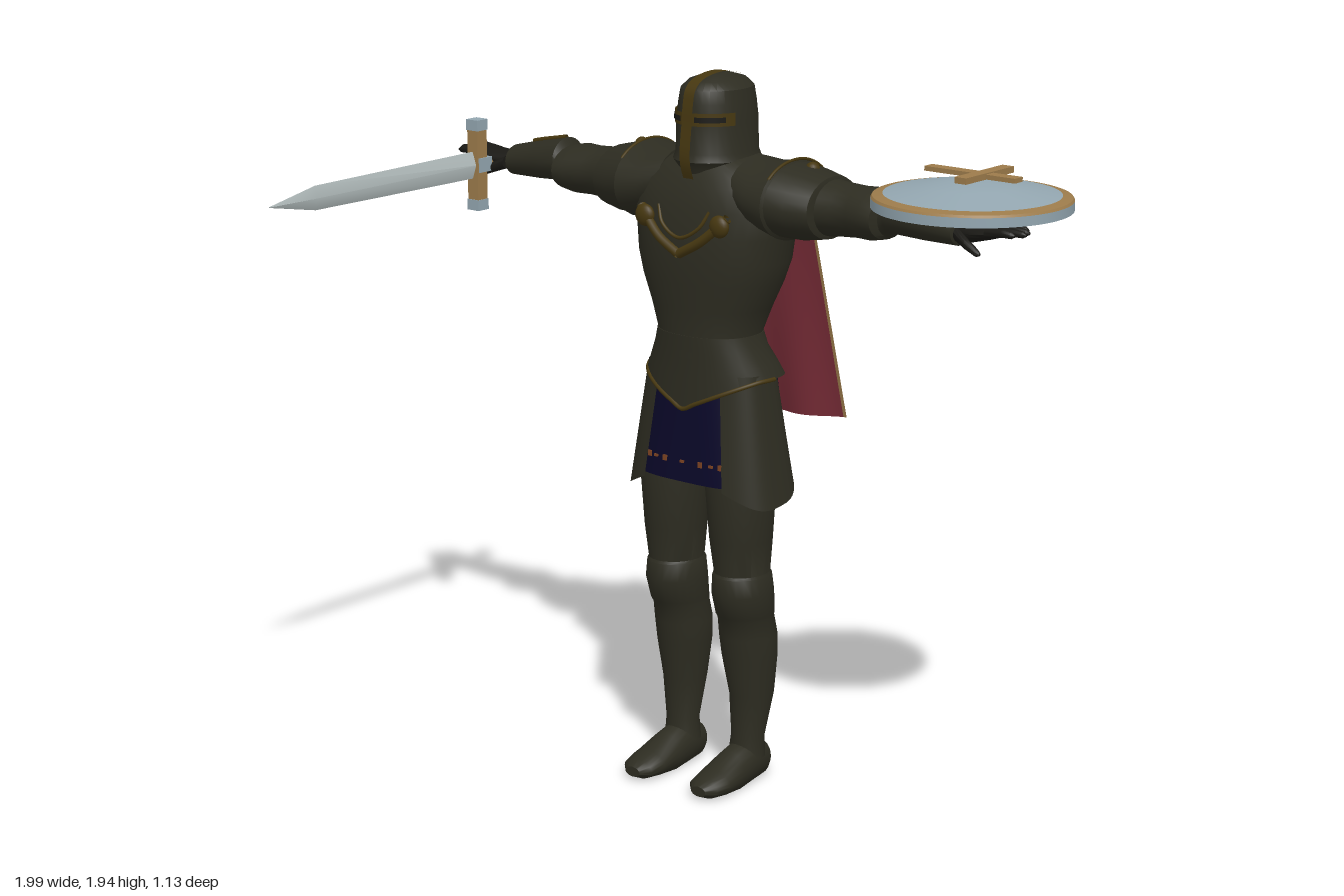
import * as THREE from 'three';
import { toCreasedNormals } from 'three/addons/utils/BufferGeometryUtils.js';

const mat = (name, color) => {
  const m = new THREE.MeshStandardMaterial({ color, side: THREE.DoubleSide });
  m.name = name;
  return m;
};

const pw = (v, p) => Math.sign(v) * Math.abs(v) ** p;

// Closed skin through elliptical sections [t, a, b, ra, rb] along an axis; s = -1 mirrors x.
function loft(rows, axis, { s = 1, n = 24, p = 1, warp } = {}) {
  const pos = [], idx = [];
  const put = (t, a, b) => {
    const v = axis === 'x' ? [t, a, b] : axis === 'y' ? [a, t, b] : [a, b, t];
    if (warp) warp(v);
    pos.push(v[0] * s, v[1], v[2]);
  };
  for (const [t, a, b, ra, rb] of rows)
    for (let j = 0; j < n; j++) {
      const q = (j / n) * Math.PI * 2;
      put(t, a + ra * pw(Math.cos(q), p), b + rb * pw(Math.sin(q), p));
    }
  const last = rows.length - 1, flip = (axis === 'y') !== (s < 0);
  const tri = (a, b, c) => (flip ? idx.push(a, c, b) : idx.push(a, b, c));
  put(...rows[0].slice(0, 3));
  put(...rows[last].slice(0, 3));
  const c0 = rows.length * n, c1 = c0 + 1;
  for (let j = 0; j < n; j++) {
    const k = (j + 1) % n;
    for (let i = 0; i < last; i++) {
      const a = i * n + j, b = i * n + k;
      tri(a, b, b + n);
      tri(a, b + n, a + n);
    }
    tri(c0, k, j);
    tri(c1, last * n + j, last * n + k);
  }
  const g = new THREE.BufferGeometry();
  g.setAttribute('position', new THREE.Float32BufferAttribute(pos, 3));
  g.setIndex(idx);
  return toCreasedNormals(g, 0.65);
}

// Open sheet from a function of (u, v) in 0..1.
function sheet(fn, nu, nv) {
  const g = new THREE.PlaneGeometry(1, 1, nu, nv), P = g.attributes.position;
  for (let i = 0; i < P.count; i++) P.setXYZ(i, ...fn(P.getX(i) + 0.5, 0.5 - P.getY(i)));
  g.computeVertexNormals();
  return g;
}

const tube = (pts, r, n = 32) =>
  new THREE.TubeGeometry(new THREE.CatmullRomCurve3(pts.map(q => new THREE.Vector3(...q))), n, r, 8);

export function createModel() {
  const armour = mat('dark olive armour', 0x2d2c21), bronze = mat('dark gold trim', 0x463710);
  const gold = mat('pale gold', 0x9c7b4b), steel = mat('blue steel', 0x93a6b0);
  const bladeSteel = mat('blade steel', 0xb2bcbc), red = mat('red cloth', 0x7a2d38);
  const blue = mat('navy cloth', 0x0a0829), orange = mat('orange embroidery', 0x7e4422);
  const leather = mat('dark leather', 0x1a1915);

  const model = new THREE.Group(), body = new THREE.Group();
  model.name = 'knight';
  body.name = 'body';
  body.position.x = -0.042;
  model.add(body);
  const add = (name, geo, m, at = [0, 0, 0], parent = body) => {
    const mesh = new THREE.Mesh(geo, m);
    mesh.name = name;
    mesh.position.set(...at);
    parent.add(mesh);
    return mesh;
  };

  // Breastplate and pointed waist plate
  add('breastplate', loft([
    [1.2, 0, -0.25, 0.15, 0.118], [1.26, 0, -0.25, 0.145, 0.118], [1.33, 0, -0.256, 0.172, 0.128],
    [1.4, 0, -0.262, 0.203, 0.143], [1.46, 0, -0.268, 0.222, 0.152],
    [1.53, 0, -0.272, 0.23, 0.156], [1.6, 0, -0.28, 0.25, 0.152], [1.66, 0, -0.285, 0.235, 0.14],
    [1.7, 0, -0.285, 0.17, 0.115], [1.73, 0, -0.285, 0.1, 0.09]], 'y', { n: 36, p: 0.9 }), armour);
  const drop = (x, z) => (z > -0.27 ? 0.085 : 0.02) * Math.max(0, 1 - Math.abs(x) / 0.19);
  add('waistPlate', loft([
    [1.145, 0, -0.275, 0.197, 0.144], [1.18, 0, -0.266, 0.183, 0.133],
    [1.22, 0, -0.255, 0.16, 0.123], [1.26, 0, -0.25, 0.147, 0.12]], 'y',
  { n: 36, p: 0.9, warp: v => { if (v[1] < 1.2) v[1] -= drop(v[0], v[2]) * (v[1] < 1.16 ? 1 : 0.5); } }), armour);
  const hem = [];
  for (let i = 0; i <= 20; i++) {
    const q = (i / 20) * Math.PI, x = 0.197 * pw(Math.cos(q), 0.9), z = -0.275 + 0.144 * pw(Math.sin(q), 0.9);
    hem.push([x, 1.145 - drop(x, z), z]);
  }
  add('waistTrim', tube(hem, 0.006, 48), bronze);

  // Neck guard with a thin gold neckline
  add('neckGuard', loft([[1.6, 0, -0.28, 0.16, 0.15], [1.66, 0, -0.28, 0.14, 0.13],
    [1.7, 0, -0.28, 0.095, 0.1], [1.75, 0, -0.28, 0.08, 0.09]], 'y'), armour);
  add('neckline', tube([[-0.085, 1.6, -0.138], [-0.06, 1.555, -0.122], [0, 1.525, -0.116],
    [0.06, 1.555, -0.122], [0.085, 1.6, -0.138]], 0.005), bronze);

  // Helmet with a cross-shaped face band running over the crown
  add('helmet', loft([
    [1.65, 0, -0.265, 0.065, 0.095], [1.7, 0, -0.27, 0.09, 0.112], [1.72, 0, -0.275, 0.106, 0.131],
    [1.74, 0, -0.275, 0.1, 0.122], [1.82, 0, -0.275, 0.098, 0.122], [1.87, 0, -0.275, 0.092, 0.117],
    [1.905, 0, -0.275, 0.087, 0.11], [1.925, 0, -0.275, 0.066, 0.088], [1.94, 0, -0.275, 0.025, 0.035]],
  'y', { n: 32 }), armour);
  const crest = new THREE.CatmullRomCurve3([[1.655, -0.163], [1.722, -0.14], [1.82, -0.147], [1.87, -0.152],
    [1.907, -0.162], [1.93, -0.19], [1.944, -0.275], [1.93, -0.36]]
    .map(([y, z]) => new THREE.Vector3(0, y, z)));
  add('helmetCrest', sheet((u, v) => {
    const q = crest.getPoint(v);
    return [(u - 0.5) * 0.034, q.y, q.z];
  }, 1, 40), bronze);
  const browBand = (y, h, r, from, to) => sheet((u, v) => {
    const q = from + (to - from) * u;
    return [(0.097 + r) * Math.cos(q), y + h * (0.5 - v), -0.275 + (0.121 + r) * Math.sin(q)];
  }, 24, 1);
  add('browBand', browBand(1.832, 0.034, 0.004, 0.35, Math.PI - 0.35), bronze);
  for (const [a, b] of [[0.6, 1.35], [Math.PI - 1.35, Math.PI - 0.6]])
    add('eyeSlit', browBand(1.832, 0.014, 0.007, a, b), leather);

  // Hip cloth, tucked under the waist plate, with embroidery
  const ring = (q, rx, rz, cz, p) => [rx * pw(Math.cos(q), p), cz + rz * pw(Math.sin(q), p)];
  const cloth = (q, v) => {
    const k = 0.88 + 0.12 * v;
    const [x, z] = ring(q, 0.2 * k, 0.143 * k, -0.272, 0.9 - 0.3 * v);
    return [x, 1.15 - 0.29 * v, z];
  };
  add('hipCloth', sheet((u, v) => cloth(u * Math.PI * 2, v), 64, 8), blue);
  for (const side of [1, -1])
    for (let i = 0; i < 13; i++) {
      const q = side * (Math.PI / 2 + (i - 6) * 0.165), [x, y, z] = cloth(q, 0.81);
      if (Math.abs(x) < 0.135)
        add('embroidery', new THREE.BoxGeometry(0.013, i % 2 ? 0.015 : 0.007, 0.005), orange, [x, y, z + side * 0.001]);
    }

  // Cape with gold side edges
  const cape = (a, b, n) => sheet((u, v) => {
    const w = a + (b - a) * u;
    return [w * (0.222 + 0.034 * v), 1.54 - 0.555 * v + 0.015 * v * Math.abs(w),
      -0.408 - 0.095 * v - 0.015 * v * Math.cos(w * Math.PI * 2)];
  }, n, 16);
  add('cape', cape(-0.96, 0.96, 40), red);
  add('capeEdge', cape(-1, -0.96, 1), gold);
  add('capeEdge', cape(0.96, 1, 1), gold);

  for (const s of [1, -1]) {
    const side = s > 0 ? 'left' : 'right';

    // Hip plate hanging over the thigh
    add(side + 'HipPlate', sheet((u, v) => {
      const back = -0.75 + 0.15 * v;
      const [x, z] = ring(back + (1.13 - back) * u, 0.185 + 0.056 * v, 0.102 + 0.03 * v, -0.257, 0.7);
      return [s * x, 1.16 - (0.31 + 0.045 * Math.sin(Math.PI * u)) * v, z];
    }, 20, 8), armour);

    // Leg with knee plate, and foot
    add(side + 'Leg', loft([
      [0.07, 0.113, -0.275, 0.052, 0.05], [0.13, 0.115, -0.277, 0.047, 0.044], [0.25, 0.117, -0.29, 0.059, 0.065],
      [0.36, 0.114, -0.284, 0.074, 0.08], [0.42, 0.113, -0.278, 0.077, 0.083], [0.475, 0.113, -0.267, 0.073, 0.082],
      [0.485, 0.114, -0.263, 0.076, 0.086], [0.55, 0.115, -0.25, 0.08, 0.092], [0.6, 0.114, -0.248, 0.076, 0.087],
      [0.607, 0.114, -0.248, 0.072, 0.082], [0.7, 0.113, -0.244, 0.083, 0.09], [0.85, 0.112, -0.242, 0.094, 0.1],
      [1, 0.105, -0.25, 0.094, 0.092], [1.16, 0.085, -0.26, 0.075, 0.07]], 'y', { s }), armour);
    add(side + 'Foot', loft([
      [-0.345, 0.113, 0.05, 0.03, 0.04], [-0.32, 0.113, 0.055, 0.046, 0.055], [-0.26, 0.113, 0.055, 0.051, 0.065],
      [-0.2, 0.114, 0.042, 0.054, 0.058], [-0.13, 0.116, 0.031, 0.058, 0.036], [-0.085, 0.116, 0.027, 0.049, 0.027],
      [-0.06, 0.116, 0.025, 0.025, 0.014]], 'z', { s, warp: v => { v[1] = Math.max(v[1], 0); } }), armour);

    // Layered shoulder with a gold edge and stud
    add(side + 'Shoulder', loft([
      [0.12, 1.65, -0.29, 0.082, 0.12], [0.18, 1.635, -0.29, 0.09, 0.14], [0.245, 1.63, -0.292, 0.106, 0.15],
      [0.25, 1.63, -0.292, 0.098, 0.142], [0.3, 1.625, -0.297, 0.094, 0.133],
      [0.36, 1.622, -0.302, 0.082, 0.112], [0.363, 1.622, -0.302, 0.073, 0.098]], 'x', { s }), armour);
    const edge = [];
    for (let q = 0.7; q < 3.6; q += 0.2)
      edge.push([s * 0.246, 1.63 + 0.106 * Math.sin(q), -0.292 + 0.15 * Math.cos(q)]);
    add(side + 'ShoulderTrim', tube(edge, 0.004), bronze);
    add(side + 'ShoulderStud', new THREE.SphereGeometry(0.02, 16, 10), bronze, [s * 0.288, 1.712, -0.31]);

    // Half of the pointed collar, ending in a boss
    add(side + 'CollarTrim', tube([[s * 0.145, 1.59, -0.137], [s * 0.07, 1.522, -0.118], [0, 1.482, -0.114]], 0.013), bronze);
    add(side + 'CollarBoss', new THREE.SphereGeometry(0.03, 20, 12), bronze, [s * 0.125, 1.568, -0.128])
      .scale.set(1, 1, 0.6);

    // Arm with elbow plate and flared forearm guard
    add(side + 'Arm', loft([
      [0.3, 1.622, -0.3, 0.08, 0.1], [0.4, 1.622, -0.306, 0.07, 0.08], [0.45, 1.622, -0.308, 0.067, 0.077],
      [0.495, 1.622, -0.31, 0.068, 0.094], [0.535, 1.622, -0.31, 0.06, 0.092],
      [0.54, 1.622, -0.31, 0.053, 0.062], [0.555, 1.64, -0.31, 0.06, 0.066], [0.65, 1.628, -0.313, 0.053, 0.058],
      [0.75, 1.615, -0.318, 0.042, 0.05], [0.755, 1.613, -0.318, 0.032, 0.04]], 'x', { s }), armour);
    add(side + 'ForearmTrim', tube([[s * 0.558, 1.7, -0.31], [s * 0.6, 1.692, -0.31], [s * 0.65, 1.682, -0.313],
      [s * 0.68, 1.675, -0.314]], 0.007, 12), bronze);

    // Gloved hand with four fingers and a thumb
    add(side + 'Palm', loft([[0.74, 1.613, -0.318, 0.028, 0.036], [0.79, 1.613, -0.318, 0.026, 0.042],
      [0.84, 1.62, -0.32, 0.02, 0.05], [0.875, 1.625, -0.32, 0.014, 0.046]], 'x', { s, n: 16 }), leather);
    for (let i = 0; i < 4; i++) {
      const z = -0.358 + i * 0.026, end = [0.925, 0.945, 0.952, 0.935][i];
      add(side + 'Finger', loft([[0.85, 1.624, z, 0.011, 0.011], [0.9, 1.63, z, 0.011, 0.011],
        [end - 0.01, 1.628, z, 0.009, 0.009], [end, 1.627, z, 0.003, 0.003]], 'x', { s, n: 10 }), leather);
    }
    add(side + 'Thumb', loft([[0.76, 1.61, -0.285, 0.018, 0.018], [0.8, 1.592, -0.268, 0.014, 0.013],
      [0.835, 1.575, -0.262, 0.01, 0.01], [0.845, 1.572, -0.262, 0.004, 0.004]], 'x', { s, n: 10 }), leather);
  }

  // Round shield lying over the left forearm
  const shield = new THREE.Group();
  shield.name = 'shield';
  shield.position.set(0.743, 0, -0.312);
  model.add(shield);
  const disc = (name, pts, m) => add(name, toCreasedNormals(
    new THREE.LatheGeometry(pts.map(q => new THREE.Vector2(...q)), 64), 0.4), m, [0, 0, 0], shield);
  disc('shieldBack', [[0, 1.74], [0.215, 1.698], [0.244, 1.675], [0.254, 1.675], [0.254, 1.7]], steel);
  disc('shieldRim', [[0.254, 1.7], [0.25, 1.706], [0.224, 1.711]], gold);
  disc('shieldFace', [[0.224, 1.711], [0.12, 1.732], [0, 1.755]], steel);
  add('shieldCrossBar', new THREE.BoxGeometry(0.272, 0.012, 0.034), gold, [0, 1.761, 0], shield);
  add('shieldCrossBar', new THREE.BoxGeometry(0.034, 0.016, 0.21), gold, [0.032, 1.762, -0.003], shield);

  // Sword held level, pointing forward
  const sword = new THREE.Group();
  sword.name = 'sword';
  sword.position.set(-0.86, 1.605, 0);
  model.add(sword);
  add('blade', loft([[-0.23, 0, 0, 0.013, 0.038], [0.4, 0, 0, 0.009, 0.033], [0.567, 0, 0, 0.001, 0.001]],
    'z', { n: 4 }), bladeSteel, [0, 0, 0], sword);
  add('guard', new THREE.BoxGeometry(0.038, 0.21, 0.038), gold, [0, 0, -0.228], sword);
  for (const s of [1, -1])
    add('guardEnd', new THREE.BoxGeometry(0.042, 0.03, 0.042), steel, [0, s * 0.112, -0.228], sword);
  add('guardBlock', new THREE.BoxGeometry(0.046, 0.04, 0.05), steel, [0, 0, -0.238], sword);
  const rod = (name, r, len, z) => {
    add(name, new THREE.CylinderGeometry(r, r, len, 24), gold, [0, 0, z], sword).rotation.x = Math.PI / 2;
  };
  rod('grip', 0.015, 0.18, -0.34);
  rod('pommel', 0.029, 0.03, -0.433);

  return model;
}
